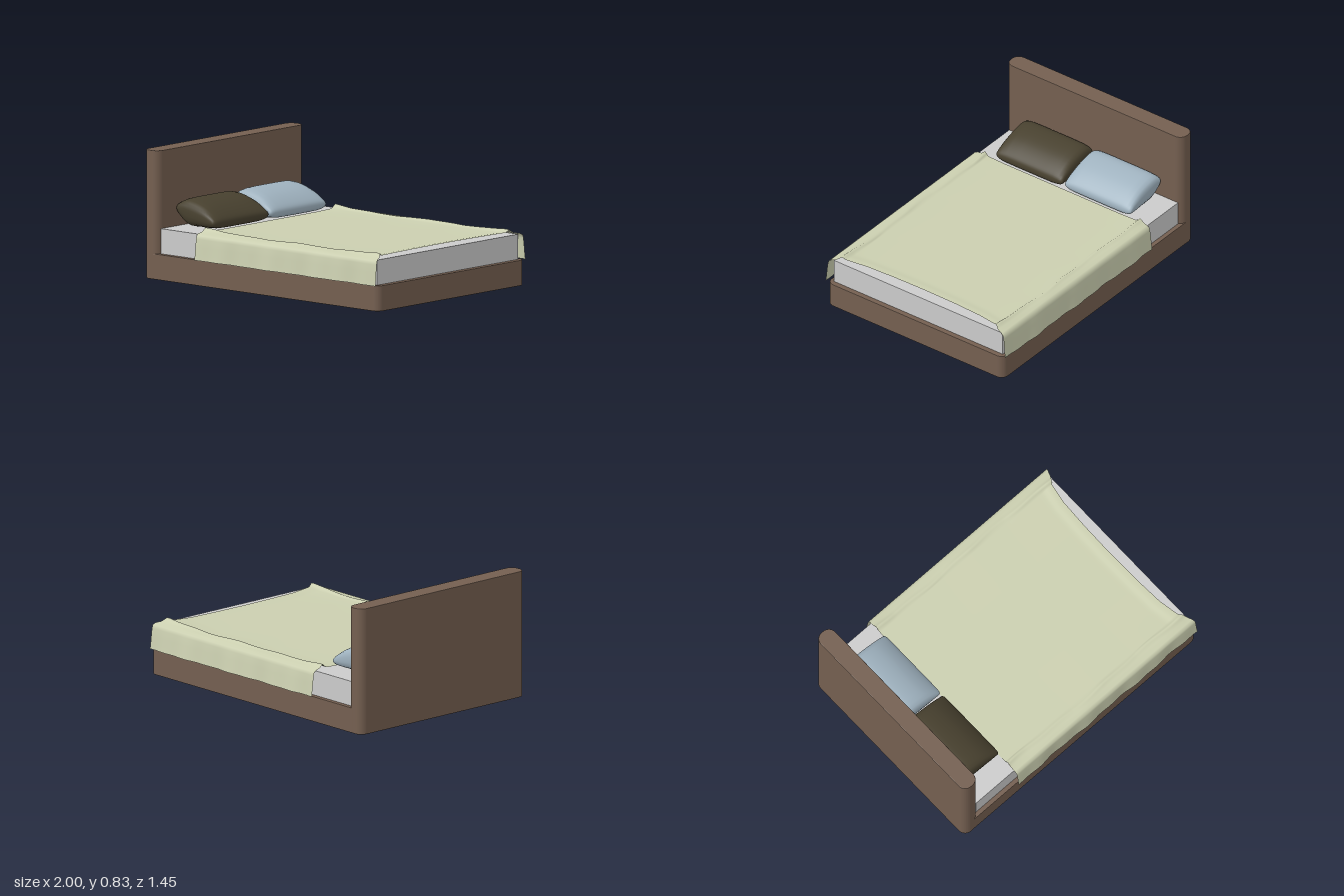
import * as THREE from 'three';
import { mergeVertices } from 'three/addons/utils/BufferGeometryUtils.js';

const mat = (color, side = THREE.FrontSide) => new THREE.MeshStandardMaterial({ color, side });

function addMesh(parent, name, geometry, material) {
  const mesh = new THREE.Mesh(geometry, material);
  mesh.name = name;
  parent.add(mesh);
  return mesh;
}

// Upright slab with rounded vertical corners, standing on y = 0
function roundedSlab(x0, x1, z0, z1, r, height) {
  const s = new THREE.Shape();
  s.moveTo(x0 + r, z0);
  s.lineTo(x1 - r, z0);
  s.absarc(x1 - r, z0 + r, r, -Math.PI / 2, 0);
  s.lineTo(x1, z1 - r);
  s.absarc(x1 - r, z1 - r, r, 0, Math.PI / 2);
  s.lineTo(x0 + r, z1);
  s.absarc(x0 + r, z1 - r, r, Math.PI / 2, Math.PI);
  s.lineTo(x0, z0 + r);
  s.absarc(x0 + r, z0 + r, r, Math.PI, Math.PI * 1.5);
  const b = 0.004;
  const g = new THREE.ExtrudeGeometry(s, {
    depth: height - 2 * b, bevelSize: b, bevelThickness: b, bevelOffset: -b, bevelSegments: 2, curveSegments: 10,
  });
  return g.rotateX(-Math.PI / 2).translate(0, b, 0);
}

// Bend a unit grid onto a surface given by place(u, v), both 0..1
function gridSurface(nu, nv, place) {
  const g = new THREE.PlaneGeometry(1, 1, nu, nv);
  const p = g.attributes.position;
  for (let i = 0; i < p.count; i++) p.setXYZ(i, ...place(p.getX(i) + 0.5, p.getY(i) + 0.5));
  g.deleteAttribute('uv');
  g.deleteAttribute('normal');
  const merged = mergeVertices(g, 1e-5);
  merged.computeVertexNormals();
  return merged;
}

// Piecewise linear lookup in [key, value] pairs
function lookup(table, k) {
  for (let i = 1; i < table.length; i++) {
    const [a, va] = table[i - 1], [b, vb] = table[i];
    if (k <= b) return THREE.MathUtils.lerp(va, vb, Math.max(0, (k - a) / (b - a)));
  }
  return table[table.length - 1][1];
}

// Leaning cushion: one side profile, shrunk towards its seam at both ends
function pillowGeometry(zMid, halfWidth) {
  const profile = new THREE.CatmullRomCurve3([
    [-0.872, 0.42], [-0.872, 0.47], [-0.83, 0.502], [-0.77, 0.505], [-0.66, 0.475], [-0.575, 0.42],
    [-0.548, 0.385], [-0.552, 0.345], [-0.6, 0.331], [-0.7, 0.328], [-0.79, 0.329], [-0.84, 0.37],
  ].map(([x, y]) => new THREE.Vector3(x, y, 0)), true, 'centripetal');
  // Station along z, height scale, depth scale
  const stations = [
    [-1, 0, 0.86], [-1, 0.22, 0.92], [-0.985, 0.5, 0.96], [-0.94, 0.72, 0.99], [-0.85, 0.87, 1], [-0.7, 0.97, 1],
    [-0.4, 1, 1], [0, 1, 1],
  ];
  const all = [...stations, ...stations.slice(0, -1).reverse().map(([z, h, d]) => [-z, h, d])];
  const n = all.length - 1;
  return gridSurface(n, 48, (u, v) => {
    const [z, h, d] = all[Math.round(u * n)];
    const q = profile.getPoint(v % 1);
    const seam = 0.41 - 0.2 * (q.x + 0.71);
    return [-0.71 + (q.x + 0.71) * d, seam + (q.y - seam) * h, zMid + z * halfWidth];
  });
}

// Cover: cross-section with a drape on each side, ridges near the edges
function coverGeometry() {
  const half = [
    [0.716, 0.165], [0.712, 0.2], [0.708, 0.25], [0.703, 0.3], [0.698, 0.323], [0.68, 0.334],
    [0.65, 0.337], [0.632, 0.341], [0.62, 0.345], [0.608, 0.338], [0.59, 0.334], [0.45, 0.333], [0.25, 0.333],
  ];
  const section = [...half, [0, 0.333], ...half.slice().reverse().map(([z, y]) => [-z, y])];
  const n = section.length - 1;
  const ridge = [
    [-0.55, 0.019], [-0.5, 0.016], [-0.4, 0.006], [0, 0], [0.25, 0.008], [0.55, 0.001], [0.82, 0.012], [0.92, 0.019], [1, 0.012],
  ];
  // Foot edge curves inwards across the top
  const footEdge = [[0, 0.895], [0.3, 0.9], [0.5, 0.912], [0.6, 0.935], [0.65, 0.965], [0.69, 0.985], [0.72, 0.992]];
  return gridSurface(90, n, (u, v) => {
    let [z, y] = section[Math.round(v * n)];
    const a = Math.abs(z), side = Math.sign(z);
    const x = THREE.MathUtils.lerp(-0.548, lookup(footEdge, a), u);
    const hang = THREE.MathUtils.clamp((0.325 - y) / 0.16, 0, 1);
    y += lookup(ridge, x) * Math.exp(-(((a - 0.62) / 0.022) ** 2));
    // Lifted hem at the foot, soft waves in the ridges and drapes
    if (a < 0.6) y += 0.006 * THREE.MathUtils.smoothstep(u, 0.94, 0.985);
    if (a > 0.6 && a < 0.66) z += side * (0.007 * Math.sin(x * 6 + side) + 0.004 * Math.sin(x * 17));
    z += side * hang * (0.004 * Math.sin(x * 13 + side) + 0.003 * Math.sin(x * 31));
    if (side < 0) z -= 0.006 * hang;
    return [x, y, z];
  });
}

export function createModel() {
  const bed = new THREE.Group();
  bed.name = 'bed';
  const wood = mat(0x745f50);

  // Frame
  addMesh(bed, 'base', roundedSlab(-0.998, 1, -0.702, 0.708, 0.05, 0.165), wood);
  addMesh(bed, 'headboard', roundedSlab(-1, -0.875, -0.703, 0.709, 0.055, 0.83), wood);

  // Mattress
  const mattress = addMesh(bed, 'mattress', new THREE.BoxGeometry(1.84, 0.162, 1.35), mat(0xcccccc));
  mattress.position.set(0.045, 0.246, -0.003);

  // Bedding
  addMesh(bed, 'blanket', coverGeometry(), mat(0xcbcfb0, THREE.DoubleSide));
  addMesh(bed, 'leftPillow', pillowGeometry(0.268, 0.265), mat(0x48412f));
  addMesh(bed, 'rightPillow', pillowGeometry(-0.282, 0.265), mat(0xa0b3c0));
  return bed;
}
